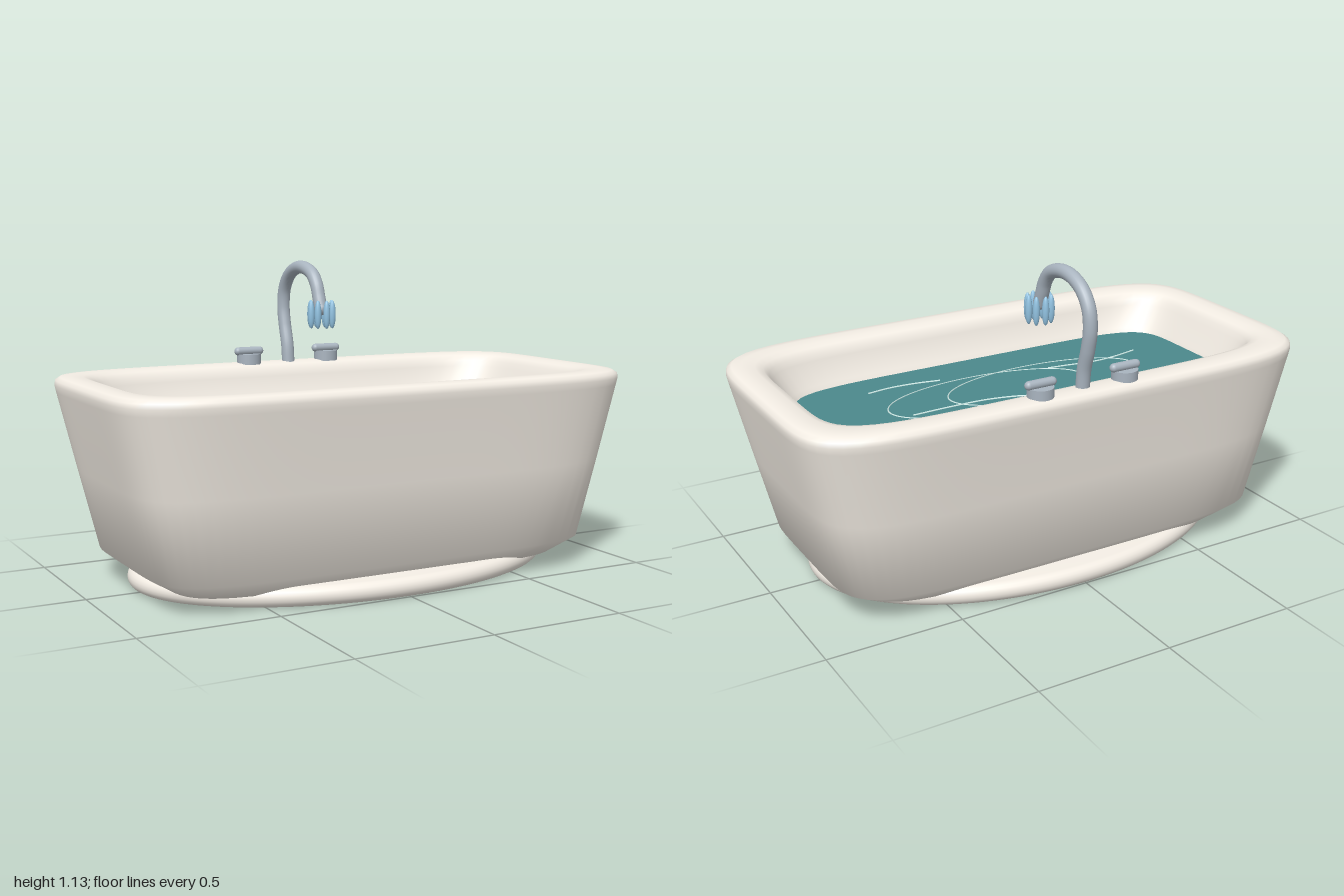
import * as THREE from 'three';
import { toCreasedNormals } from 'three/addons/utils/BufferGeometryUtils.js';

const ceramic = new THREE.MeshStandardMaterial({ color: 0xf3ede4 });
const metal = new THREE.MeshStandardMaterial({ color: 0xa9b4bf });
const water = new THREE.MeshStandardMaterial({ color: 0x4c898c });
const ripple = new THREE.MeshStandardMaterial({ color: 0xcfeae6 });
const drop = new THREE.MeshStandardMaterial({ color: 0x92c3e2 });

const WATER_Y = 0.59;

// Skin over superellipse rings [halfX, halfZ, y, exponent]
function loft(rings, crease = 1, seg = 128) {
  const pos = [], index = [];
  rings.forEach(([a, b, y, n], r) => {
    for (let i = 0; i < seg; i++) {
      const t = (i / seg) * Math.PI * 2, c = Math.cos(t), s = Math.sin(t);
      const k = (Math.abs(c) ** n + Math.abs(s) ** n) ** (-1 / n);
      pos.push(a * c * k, y, b * s * k);
      if (r === rings.length - 1) continue;
      const p = r * seg + i, q = r * seg + ((i + 1) % seg);
      index.push(p, p + seg, q, q, p + seg, q + seg);
    }
  });
  const geo = new THREE.BufferGeometry();
  geo.setAttribute('position', new THREE.Float32BufferAttribute(pos, 3));
  geo.setIndex(index);
  return toCreasedNormals(geo, crease);
}

function add(parent, name, geo, mat, x = 0, y = 0, z = 0) {
  const mesh = new THREE.Mesh(geo, mat);
  mesh.name = name;
  mesh.position.set(x, y, z);
  parent.add(mesh);
  return mesh;
}

function tube(points, radius, seg, radial) {
  const curve = new THREE.CatmullRomCurve3(points.map((p) => new THREE.Vector3(...p)));
  return new THREE.TubeGeometry(curve, seg, radius, radial);
}

export function createModel() {
  const model = new THREE.Group();
  model.name = 'bathtub';

  // Oval plinth with a rounded edge
  const edge = [];
  for (let i = 0; i <= 10; i++) {
    const t = -Math.PI / 2 + (i / 10) * Math.PI, d = 0.035 * (1 - Math.cos(t));
    edge.push([0.83 - d, 0.518 - d, 0.035 + 0.035 * Math.sin(t), 2]);
  }
  add(model, 'plinth', loft([[0, 0, 0, 2], ...edge, [0, 0, 0.07, 2]]), ceramic);

  // Tub: outer wall, rolled rim, inner wall and floor in one skin
  add(model, 'tub', loft([
    [0, 0, 0.047, 5.5],
    [0.77, 0.4, 0.047, 5.5],
    [0.86, 0.455, 0.105, 6],
    [0.93, 0.491, 0.4, 6],
    [0.995, 0.524, 0.68, 6],
    [1, 0.528, 0.705, 6],
    [0.997, 0.525, 0.722, 6],
    [0.982, 0.512, 0.733, 6],
    [0.95, 0.48, 0.737, 6],
    [0.91, 0.437, 0.735, 6],
    [0.885, 0.412, 0.727, 6],
    [0.868, 0.396, 0.708, 6],
    [0.858, 0.388, 0.685, 6],
    [0.805, 0.362, WATER_Y + 0.01, 6],
    [0.785, 0.325, WATER_Y - 0.03, 6],
    [0.72, 0.28, 0.2, 6],
    [0.62, 0.2, 0.13, 6],
    [0, 0, 0.12, 6],
  ]), ceramic);

  // Water surface
  add(model, 'water', loft([[0.792, 0.333, WATER_Y, 6], [0, 0, WATER_Y, 6]]), water);

  // Two overlapping oval ripples
  for (const side of [-1, 1]) {
    const ring = add(model, 'ovalRipple', new THREE.TorusGeometry(0.4, 0.003, 6, 96), ripple, side * 0.12, WATER_Y, -0.015);
    ring.rotation.x = -Math.PI / 2;
    ring.scale.set(1, 0.43, 1);
  }

  // Loose wavelets, given as [x, z] points
  const wavelets = [
    [[-0.02, -0.13], [0.05, -0.1], [0.16, -0.075], [0.3, -0.07], [0.46, -0.075]],
    [[-0.6, 0.1], [-0.48, 0.075], [-0.38, 0.07], [-0.28, 0.085], [-0.2, 0.095]],
    [[0.22, 0.185], [0.32, 0.203], [0.42, 0.207], [0.51, 0.195]],
    [[-0.35, -0.19], [-0.24, -0.205], [-0.14, -0.2], [-0.05, -0.18]],
  ];
  for (const path of wavelets) {
    add(model, 'wavelet', tube(path.map(([x, z]) => [x, WATER_Y, z]), 0.004, 24, 6), ripple);
  }

  // Curved faucet
  const spout = [
    [0.72, -0.452], [0.8, -0.46], [0.88, -0.482], [0.95, -0.493], [1.02, -0.482],
    [1.075, -0.44], [1.105, -0.375], [1.108, -0.31], [1.085, -0.24],
    [1.045, -0.205], [1.0, -0.187], [0.955, -0.17],
  ];
  add(model, 'faucet', tube(spout.map(([y, z]) => [0, y, z]), 0.025, 64, 20), metal);
  add(model, 'faucetMouth', new THREE.SphereGeometry(0.025, 20, 12), metal, 0, 0.957, -0.17);

  // Ring of long drops at the spout
  for (let i = 0; i < 8; i++) {
    const t = (i / 8) * Math.PI * 2;
    const d = add(model, 'waterDrop', new THREE.SphereGeometry(0.013, 14, 12), drop,
      0.043 * Math.cos(t), 0.937, -0.166 + 0.043 * Math.sin(t));
    d.scale.y = 4.1;
  }

  // Tap handles: round foot with a crossbar
  for (const side of [-1, 1]) {
    const tap = new THREE.Group();
    tap.name = side > 0 ? 'leftTap' : 'rightTap';
    tap.position.set(side * 0.17, 0, -0.457);
    add(tap, 'tapFoot', new THREE.CylinderGeometry(0.047, 0.047, 0.04, 28), metal, 0, 0.75, 0);
    const bar = add(tap, 'tapBar', new THREE.CapsuleGeometry(0.016, 0.09, 6, 16), metal, 0, 0.781, 0);
    bar.rotation.z = Math.PI / 2;
    model.add(tap);
  }

  return model;
}
